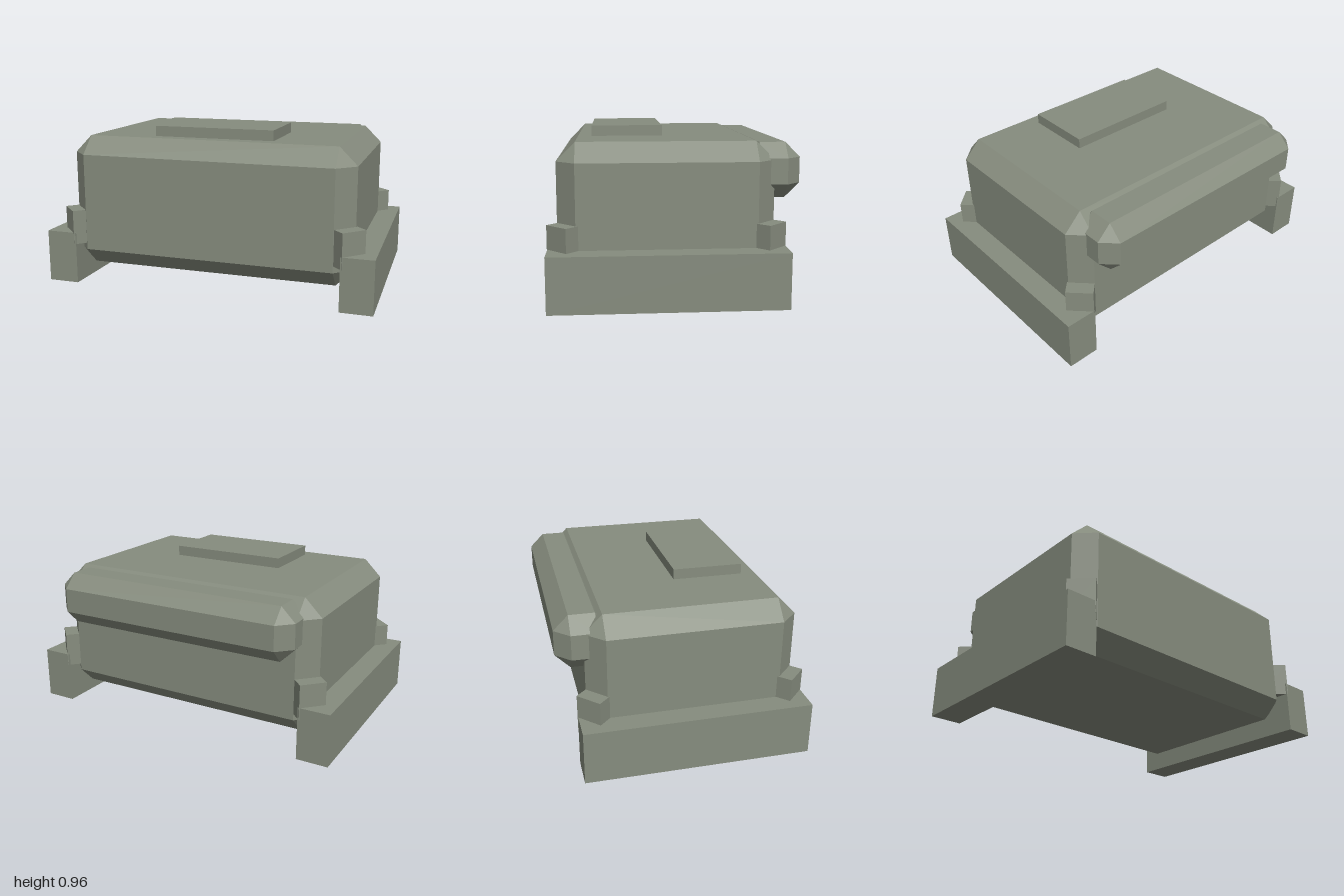
import * as THREE from 'three';
import { ConvexGeometry } from 'three/addons/geometries/ConvexGeometry.js';

const material = new THREE.MeshStandardMaterial({ color: 0x868c7e, flatShading: true });

// Box with every edge cut at 45 degrees; each corner becomes a triangle
function chamferBox(w, h, d, c) {
  const points = [];
  for (const sx of [-1, 1]) for (const sy of [-1, 1]) for (const sz of [-1, 1]) {
    const x = w / 2, y = h / 2, z = d / 2;
    points.push(
      new THREE.Vector3(sx * x, sy * (y - c), sz * (z - c)),
      new THREE.Vector3(sx * (x - c), sy * y, sz * (z - c)),
      new THREE.Vector3(sx * (x - c), sy * (y - c), sz * z));
  }
  return new ConvexGeometry(points);
}

export function createModel() {
  const model = new THREE.Group();
  model.name = 'backpackUnit';

  const add = (name, geometry, x, y, z) => {
    const mesh = new THREE.Mesh(geometry, material);
    mesh.name = name;
    mesh.position.set(x, y, z);
    model.add(mesh);
    return mesh;
  };

  // Main chamfered body, raised plate on its lid and roll along the back
  add('body', chamferBox(1.736, 0.8, 1.21, 0.106), 0, 0.498, 0.05);
  add('topPlate', new THREE.BoxGeometry(0.734, 0.12, 0.42), 0, 0.9, 0.258);
  add('backRoll', chamferBox(1.576, 0.316, 0.316, 0.085), 0, 0.728, -0.552);

  // Side skids, with a turned corner block at each end
  for (const side of [-1, 1]) {
    const prefix = side > 0 ? 'left' : 'right';
    add(prefix + 'Skid', new THREE.BoxGeometry(0.19, 0.316, 1.316), side * 0.905, 0.158, 0.048);
    for (const [end, z] of [['Front', 0.598], ['Back', -0.502]]) {
      const block = add(prefix + end + 'CornerBlock', new THREE.BoxGeometry(0.157, 0.208, 0.157), side * 0.82, 0.348, z);
      block.rotation.y = Math.PI / 4;
    }
  }
  return model;
}
